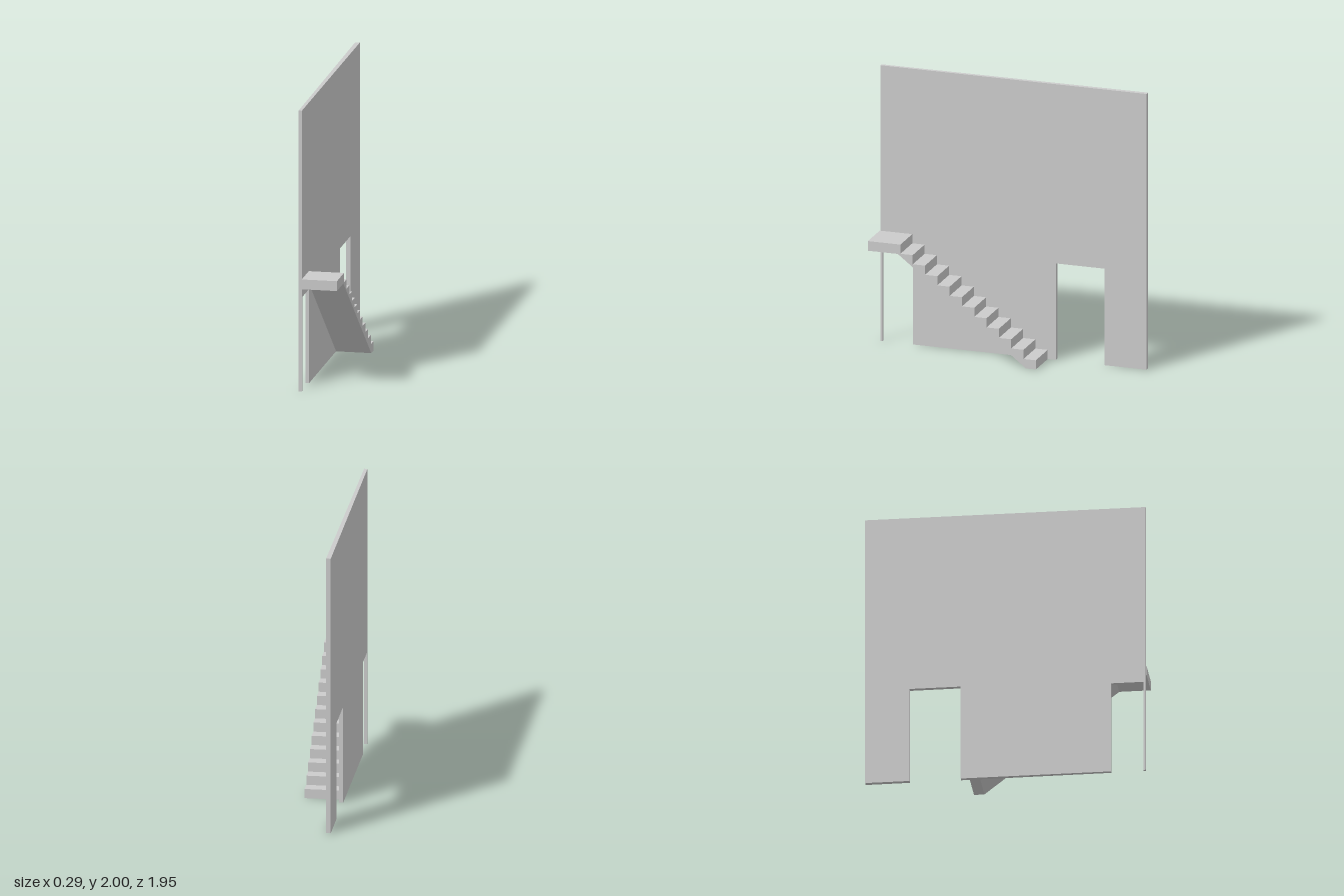
import * as THREE from 'three';

const material = new THREE.MeshStandardMaterial({ color: 0xcccccc, flatShading: true });

// Extrude a [z, y] side profile from x = right towards -x by the given width.
function sidePanel(name, points, right, width) {
  const shape = new THREE.Shape(points.map(([z, y]) => new THREE.Vector2(z, y)));
  const geometry = new THREE.ExtrudeGeometry(shape, { depth: width, bevelEnabled: false });
  geometry.rotateY(-Math.PI / 2).translate(right, 0, 0);
  const mesh = new THREE.Mesh(geometry, material);
  mesh.name = name;
  return mesh;
}

export function createModel() {
  const group = new THREE.Group();
  group.name = 'wallWithStaircase';
  const wallFace = -0.109;

  // Wall with two doorways open at the floor
  const wall = sidePanel('wall', [
    [-0.975, 0], [-0.668, 0], [-0.668, 0.70], [-0.312, 0.70], [-0.312, 0],
    [0.732, 0], [0.732, 0.67], [0.956, 0.67], [0.956, 0], [0.972, 0],
    [0.972, 2], [-0.975, 2],
  ], wallFace, 0.028);

  // The wall is a little thicker towards the back
  const p = wall.geometry.attributes.position;
  for (let i = 0; i < p.count; i++) {
    if (p.getX(i) < wallFace - 0.01) p.setX(i, -0.137 + 0.005 * p.getZ(i));
  }
  wall.geometry.computeVertexNormals();
  group.add(wall);

  // Staircase: twelve risers up to a landing, with a sloping underside
  const steps = 12, rise = 0.8 / steps, tread = 0.09, start = -0.252;
  const profile = [[-0.18, 0], [0.757, 0.73], [0.976, 0.73], [0.976, 0.8]];
  for (let i = steps - 1; i >= 0; i--) {
    const z = start + i * tread;
    profile.push([z, (i + 1) * rise], [z, i * rise]);
  }
  group.add(sidePanel('staircase', profile, 0.139, 0.139 - wallFace));

  // The whole construction stands slightly turned
  group.rotation.y = -0.012;
  return group;
}
